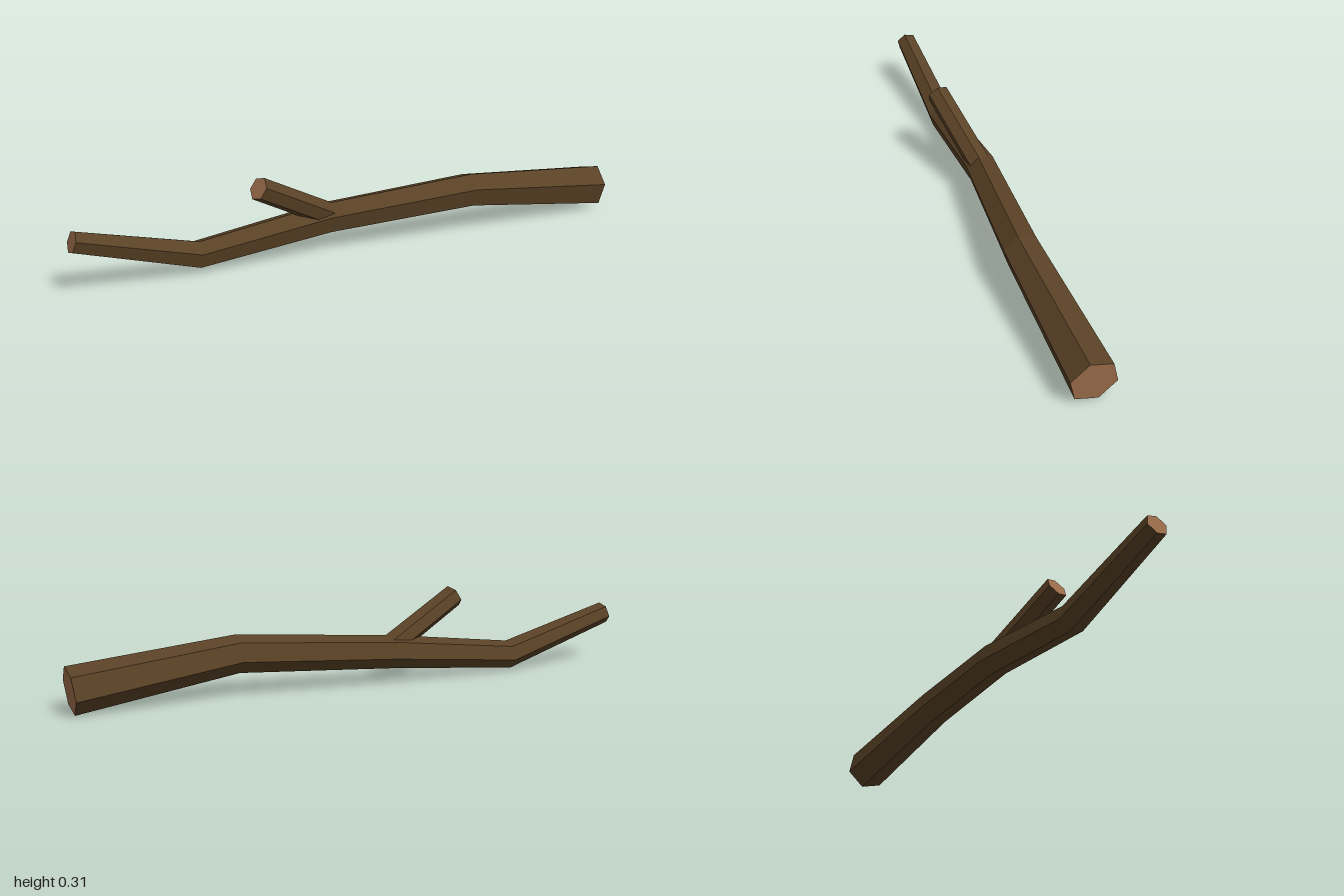
import * as THREE from 'three';

const SIDES = 6;
const TURN = THREE.MathUtils.degToRad(15);

// One six-sided ring around each path point, square to the path; stations are [x, y, z, radius].
function makeRings(stations) {
  const pts = stations.map(([x, y, z]) => new THREE.Vector3(x, y, z));
  return pts.map((p, i) => {
    const dir = new THREE.Vector3();
    if (i > 0) dir.add(p.clone().sub(pts[i - 1]).normalize());
    if (i < pts.length - 1) dir.add(pts[i + 1].clone().sub(p).normalize());
    dir.normalize();
    const up = new THREE.Vector3(0, 1, 0).addScaledVector(dir, -dir.y).normalize();
    const side = new THREE.Vector3().crossVectors(up, dir);
    return Array.from({ length: SIDES }, (_, k) => {
      const a = TURN + (k / SIDES) * Math.PI * 2;
      return p.clone()
        .addScaledVector(side, stations[i][3] * Math.cos(a))
        .addScaledVector(up, stations[i][3] * Math.sin(a));
    });
  });
}

function facetedMesh(name, triangles, material) {
  const geometry = new THREE.BufferGeometry().setFromPoints(triangles);
  geometry.computeVertexNormals();
  const mesh = new THREE.Mesh(geometry, material);
  mesh.name = name;
  return mesh;
}

// Bark skin joining neighbouring rings
function barkTriangles(rings) {
  const out = [];
  for (let i = 0; i < rings.length - 1; i++) {
    for (let k = 0; k < SIDES; k++) {
      const n = (k + 1) % SIDES;
      const a = rings[i][k], b = rings[i][n], c = rings[i + 1][k], d = rings[i + 1][n];
      out.push(a, b, d, a, d, c);
    }
  }
  return out;
}

// Flat sawn end
function capTriangles(ring) {
  const out = [];
  for (let k = 1; k < SIDES - 1; k++) out.push(ring[0], ring[k], ring[k + 1]);
  return out;
}

export function createModel() {
  const bark = new THREE.MeshStandardMaterial({ color: 0x5a4226, flatShading: true });
  bark.name = 'bark brown';
  const wood = new THREE.MeshStandardMaterial({ color: 0x9c6d4b, flatShading: true });
  wood.name = 'cut wood';

  const model = new THREE.Group();
  model.name = 'branch';

  // Main stem, from the thick end to the thin tip
  const stem = makeRings([
    [0.987, 0.078, -0.027, 0.079],
    [0.43, 0.143, 0.006, 0.064],
    [-0.11, 0.11, -0.022, 0.057],
    [-0.575, 0.058, -0.003, 0.049],
    [-0.987, 0.175, 0.03, 0.038],
  ]);
  model.add(facetedMesh('stemBark', barkTriangles(stem), bark));
  model.add(facetedMesh('stemThickEnd', capTriangles([...stem[0]].reverse()), wood));
  model.add(facetedMesh('stemThinEnd', capTriangles(stem[stem.length - 1]), wood));

  // Side twig, rooted inside the stem
  const twig = makeRings([
    [-0.09, 0.117, -0.02, 0.042],
    [-0.383, 0.273, 0.06, 0.04],
  ]);
  model.add(facetedMesh('twigBark', barkTriangles(twig), bark));
  model.add(facetedMesh('twigEnd', capTriangles(twig[1]), wood));

  return model;
}
